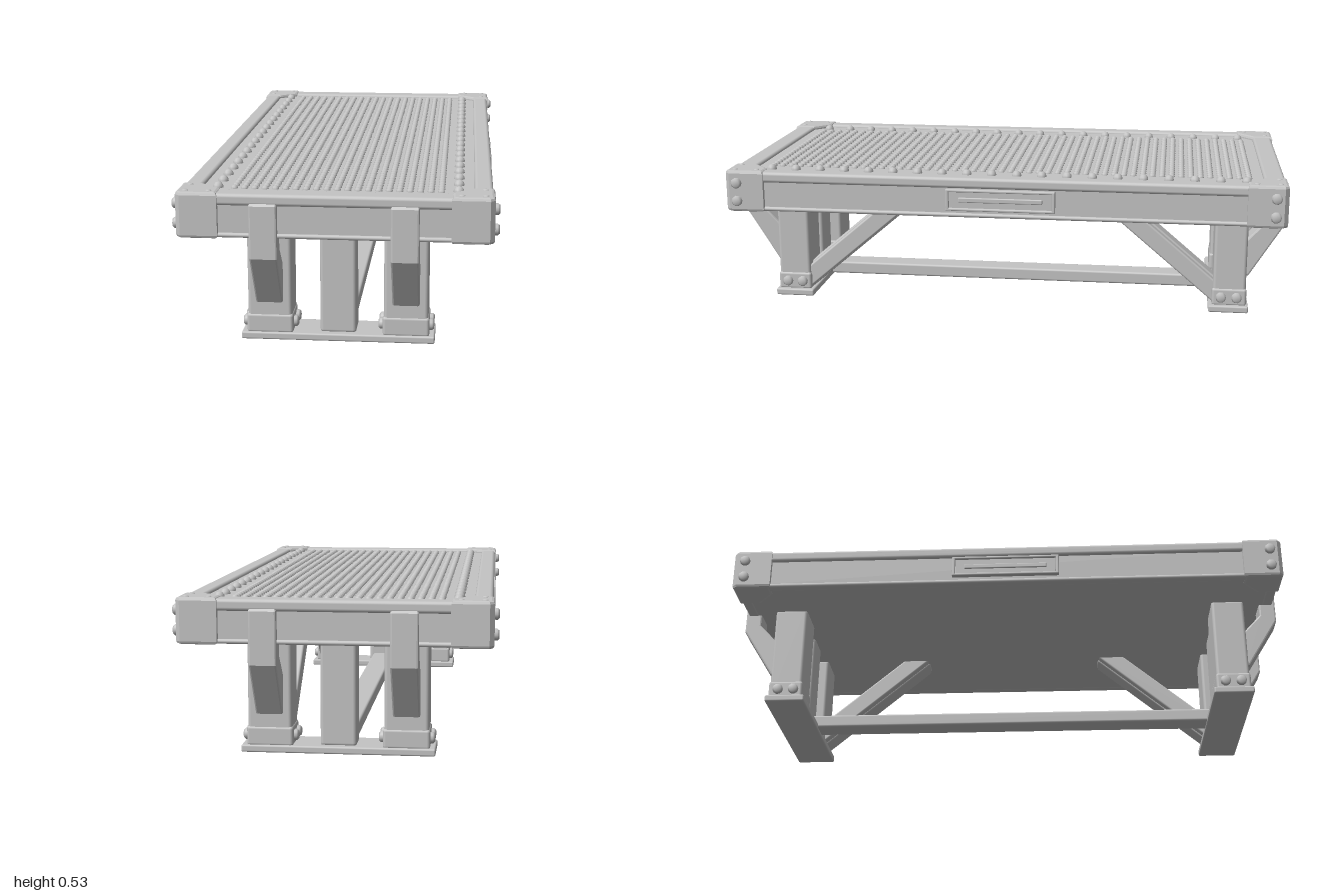
import * as THREE from 'three';
import { mergeGeometries } from 'three/addons/utils/BufferGeometryUtils.js';
import { RoundedBoxGeometry } from 'three/addons/geometries/RoundedBoxGeometry.js';

export function createModel() {
  const model = new THREE.Group();
  model.name = 'treadPlateTable';
  const grey = new THREE.MeshStandardMaterial({ color: 0xc4c4c4 });
  grey.name = 'light steel grey';

  function add(parent, name, geometry) {
    const mesh = new THREE.Mesh(geometry, grey);
    mesh.name = name;
    parent.add(mesh);
    return mesh;
  }

  // Rounded block given by its limits on each axis
  function block(parent, name, [x0, x1], [y0, y1], [z0, z1], r = 0.008) {
    const g = new RoundedBoxGeometry(x1 - x0, y1 - y0, z1 - z0, 2, r);
    g.translate((x0 + x1) / 2, (y0 + y1) / 2, (z0 + z1) / 2);
    return add(parent, name, g);
  }

  // Extruded outline with a softened edge; the bevel stays inside the outline
  function extrude(points, depth, bevel) {
    const shape = new THREE.Shape(points.map(([x, y]) => new THREE.Vector2(x, y)));
    return new THREE.ExtrudeGeometry(shape, {
      depth: depth - 2 * bevel, bevelEnabled: true, bevelThickness: bevel,
      bevelSize: bevel, bevelOffset: -bevel, bevelSegments: 2,
    }).translate(0, 0, bevel);
  }

  // Low dome, pointing up, for studs and rivets
  function dome(r, h, sides, x, y, z) {
    const g = new THREE.SphereGeometry(r, sides, 3, 0, Math.PI * 2, 0, Math.PI / 2);
    return g.scale(1, h / r, 1).translate(x, y, z);
  }

  // Bolt head pointing sideways along x
  function bolt(x, y, z, dir, r = 0.019, h = 0.016) {
    const profile = [[r, -0.01], [r, h * 0.6], [r * 0.7, h], [0, h]];
    const g = new THREE.LatheGeometry(profile.map(([a, b]) => new THREE.Vector2(a, b)), 10);
    return g.rotateZ(-dir * Math.PI / 2).translate(x, y, z);
  }

  // Table slab with a recessed web and lips around it
  block(model, 'slabCore', [-0.489, 0.489], [0.378, 0.51], [-0.983, 0.983]);
  for (const s of [-1, 1]) {
    const span = (a, b) => (s > 0 ? [a, b] : [-b, -a]);
    block(model, 'sideTopRail', span(0.44, 0.5), [0.482, 0.521], [-0.99, 0.99], 0.012);
    block(model, 'endTopRail', [-0.49, 0.49], [0.482, 0.521], span(0.92, 0.995), 0.012);
    block(model, 'sideLowerLip', span(0.46, 0.496), [0.376, 0.392], [-0.99, 0.99], 0.008);
    block(model, 'endLowerLip', [-0.49, 0.49], [0.376, 0.392], span(0.95, 0.99), 0.008);

    // Framed plate on the long side
    block(model, 'sidePlate', span(0.48, 0.498), [0.405, 0.475], [-0.185, 0.185], 0.005);
    for (const y of [0.402, 0.47])
      block(model, 'sidePlateFrame', span(0.48, 0.506), [y, y + 0.01], [-0.195, 0.195], 0.004);
    for (const z of [-0.195, 0.183])
      block(model, 'sidePlateFrame', span(0.48, 0.506), [0.402, 0.48], [z, z + 0.012], 0.004);
    block(model, 'sidePlateBar', span(0.48, 0.502), [0.432, 0.45], [-0.15, 0.15], 0.004);
  }

  // Corner caps with a cut inner corner, side bolts and small top rivets
  const capOutline = [[0.37, 1], [0.49, 1], [0.505, 0.985], [0.505, 0.86], [0.44, 0.86], [0.37, 0.922]];
  for (const sx of [-1, 1]) for (const sz of [-1, 1]) {
    const g = extrude(capOutline.map(([x, z]) => [x * sx, z * sz]), 0.151, 0.01);
    add(model, 'cornerCap', g.rotateX(Math.PI / 2).translate(0, 0.525, 0));
    add(model, 'cornerBolts', mergeGeometries(
      [0.415, 0.481].map((y) => bolt(sx * 0.504, y, sz * 0.957, sx))));
    add(model, 'cornerRivets', mergeGeometries(
      [[0.4, 0.97], [0.475, 0.97], [0.475, 0.89]].map(([x, z]) => dome(0.011, 0.005, 8, sx * x, 0.524, sz * z))));
  }

  // Grid of tread studs and a row of rivets on either side
  const studs = [];
  for (let i = 0; i < 21; i++) for (let j = 0; j < 52; j++)
    studs.push(dome(0.0125, 0.012, 7, -0.335 + i * 0.0335, 0.509, -0.87 + j * 0.0341));
  add(model, 'treadStuds', mergeGeometries(studs));
  const rivets = [];
  for (const x of [-0.39, 0.39]) for (let j = 0; j < 20; j++)
    rivets.push(dome(0.018, 0.02, 10, x, 0.509, -0.86 + j * 0.0905));
  add(model, 'edgeRivets', mergeGeometries(rivets));

  // Legs, posts and braces of one end; the other end is turned round
  const strap = [[0.975, 0.492], [0.993, 0.492], [1, 0.483], [1, 0.31], [0.888, 0.13], [0.872, 0.13],
    [0.872, 0.262], [0.94, 0.335], [0.94, 0.4], [0.975, 0.4]];
  for (const s of [1, -1]) {
    const end = new THREE.Group();
    end.name = s > 0 ? 'frontLegFrame' : 'backLegFrame';
    end.rotation.y = s > 0 ? 0 : Math.PI;
    model.add(end);

    block(end, 'footPlate', [-0.32, 0.32], [0, 0.025], [0.745, 0.89], 0.006);
    block(end, 'centrePost', [-0.06, 0.06], [0.02, 0.385], [0.775, 0.865], 0.012);

    for (const sx of [-1, 1]) {
      const cx = sx * 0.225;
      block(end, 'leg', [cx - 0.073, cx + 0.073], [0.02, 0.385], [0.76, 0.88], 0.012);
      block(end, 'legSleeve', [cx - 0.077, cx + 0.077], [0.02, 0.087], [0.757, 0.883], 0.01);
      const bolts = [];
      for (const d of [-1, 1]) for (const z of [0.79, 0.847])
        bolts.push(bolt(cx + d * 0.076, 0.054, z, d));
      add(end, 'legBolts', mergeGeometries(bolts));

      // Bent strap from the slab edge back to the leg
      const g = extrude(strap, 0.09, 0.006).rotateY(-Math.PI / 2);
      add(end, 'bentStrap', g.translate(cx + 0.045, 0, 0));
    }

    // Slanted brace on one side only, with a raised middle strip
    const dy = 0.36, dz = -0.425, length = Math.hypot(dy, dz);
    for (const [w, t] of [[0.125, 0.066], [0.07, 0.078]]) {
      const brace = add(end, 'slantedBrace', new RoundedBoxGeometry(w, t, length, 2, 0.007));
      brace.position.set(s * 0.225, 0.226, 0.58);
      brace.rotation.x = Math.atan2(dy, -dz);
    }
  }

  // Low stretcher joining the two foot plates
  block(model, 'stretcher', [-0.045, 0.045], [0.008, 0.056], [-0.78, 0.78], 0.008);

  return model;
}
